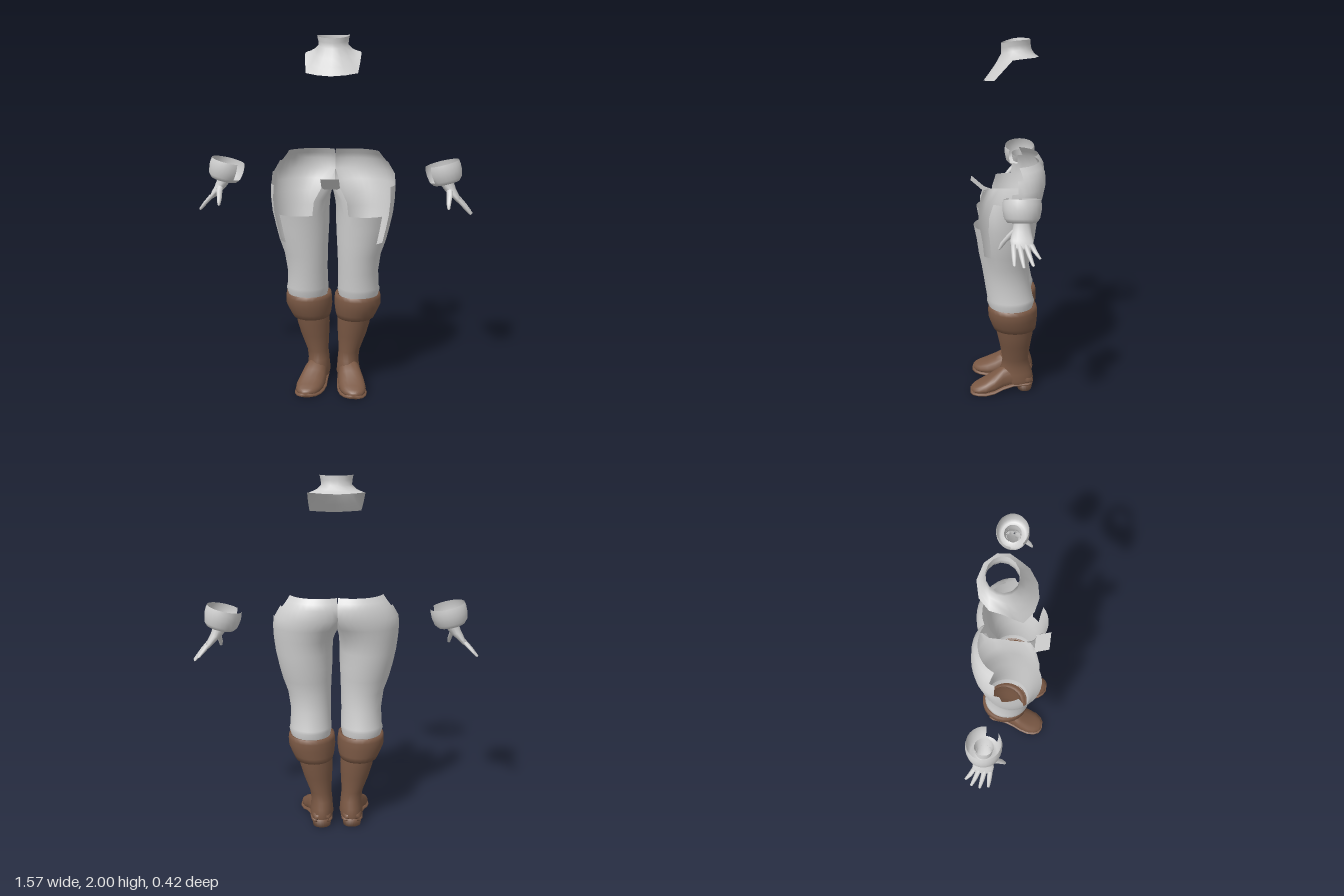
import * as THREE from 'three';

const RAD = Math.PI / 180;
const V = (x, y, z) => new THREE.Vector3(x, y, z);

// Surface through a stack of closed rings; keep(i, j) can leave out cells.
function loft(rings, keep = () => true) {
  const n = rings[0].length, index = [];
  for (let i = 0; i < rings.length - 1; i++) {
    for (let j = 0; j < n; j++) {
      if (!keep(i, j)) continue;
      const k = (j + 1) % n;
      const a = i * n + j, b = i * n + k, c = a + n, d = b + n;
      index.push(a, c, d, a, d, b);
    }
  }
  const g = new THREE.BufferGeometry().setFromPoints(rings.flat());
  g.setIndex(index);
  g.computeVertexNormals();
  return g;
}

// Horizontal oval between x0..x1 and z0..z1.
function oval(y, x0, x1, z0, z1, n = 24) {
  return Array.from({ length: n }, (_, j) => {
    const a = j / n * 2 * Math.PI;
    return V((x0 + x1) / 2 + (x1 - x0) / 2 * Math.cos(a), y, (z0 + z1) / 2 + (z1 - z0) / 2 * Math.sin(a));
  });
}

// Upright oval facing along z, flatter at the bottom.
function footRing(z, x, w, y0, y1, n = 20) {
  return Array.from({ length: n }, (_, j) => {
    const a = j / n * 2 * Math.PI, s = Math.sin(a), c = Math.cos(a);
    const base = y0 + (y1 - y0) * 0.3;
    return V(x + w * Math.sign(c) * Math.abs(c) ** 0.8,
      s > 0 ? base + (y1 - base) * s : base - (base - y0) * Math.abs(s) ** 0.4, z);
  });
}

// Tapered finger from tip to root, with a closed tip.
function finger(points, radii) {
  const rings = points.map(([x, y, z], i) => oval(y, x - radii[i], x + radii[i], z - radii[i], z + radii[i], 8));
  const [x, y, z] = points[0];
  rings.unshift(oval(y - 0.006, x, x, z, z, 8));
  return loft(rings);
}

function mirrored(g) {
  const m = g.clone().scale(-1, 1, 1), a = m.index.array;
  for (let i = 0; i < a.length; i += 3) [a[i], a[i + 1]] = [a[i + 1], a[i]];
  m.computeVertexNormals();
  return m;
}

export function createModel() {
  const model = new THREE.Group();
  const cloth = new THREE.MeshStandardMaterial({ color: 0xd0d0d0, side: THREE.DoubleSide });
  const leather = new THREE.MeshStandardMaterial({ color: 0x7a5844, side: THREE.DoubleSide });
  cloth.name = 'pale cloth';
  leather.name = 'brown leather';

  function add(name, geometry, material) {
    const mesh = new THREE.Mesh(geometry, material);
    mesh.name = name;
    model.add(mesh);
  }
  function pair(name, geometry, material) {
    add(name + 'Left', geometry, material);
    add(name + 'Right', mirrored(geometry), material);
  }

  // Trousers, one half: y, inner x, outer x, centre x, back z, front z
  const levels = [
    [0.54, 0.035, 0.255, 0.145, -0.14, 0.095], [0.585, 0.025, 0.268, 0.147, -0.152, 0.112],
    [0.60, 0.028, 0.262, 0.145, -0.145, 0.11], [0.70, 0.03, 0.258, 0.144, -0.125, 0.125],
    [0.80, 0.028, 0.272, 0.15, -0.12, 0.14], [0.88, 0.025, 0.30, 0.162, -0.135, 0.155],
    [0.96, 0.022, 0.32, 0.17, -0.15, 0.165], [1.04, 0.02, 0.337, 0.178, -0.16, 0.18],
    [1.12, 0.018, 0.346, 0.175, -0.17, 0.178], [1.19, 0, 0.348, 0.15, -0.192, 0.155],
    [1.25, 0, 0.343, 0.11, -0.208, 0.15], [1.31, 0, 0.308, 0.1, -0.205, 0.15],
    [1.34, 0, 0.283, 0.095, -0.19, 0.15], [1.368, 0, 0.263, 0.09, -0.172, 0.15],
  ];
  const trouserRings = levels.map(([y, x0, x1, cx, z0, z1]) => Array.from({ length: 36 }, (_, j) => {
    const c = Math.cos(j * 10 * RAD), s = Math.sin(j * 10 * RAD);
    return V(Math.max(x0, cx + (x1 - cx) * c), y, (z0 + z1) / 2 + (z1 - z0) / 2 * s);
  }));
  // Cut-outs at the thigh, hip and open waist front
  const keepTrouser = (i, j) => {
    const y = levels[i][0], a = j * 10;
    if (y >= 1.04 && a >= 50 && a < 120) return false;
    if (y >= 0.88 && a >= 30 && a < 50) return false;
    if (y < 1.19) return true;
    const k = (j + 1) % 36;
    if (trouserRings[i][j].x < 0.001 && trouserRings[i][k].x < 0.001) return false;
    return a >= 190 && a < (y < 1.25 ? 360 : y < 1.31 ? 350 : 340);
  };
  pair('trouserLeg', loft(trouserRings, keepTrouser), cloth);
  const flap = new THREE.PlaneGeometry(0.1, 0.106);
  flap.rotateX(0.85).translate(0, 1.215, 0.16);
  add('crotchFlap', flap, cloth);

  // Boots
  const ovals = rows => rows.map(r => oval(...r));
  pair('bootCuff', loft(ovals([
    [0.425, 0.03, 0.215, -0.145, 0.06], [0.41, 0.02, 0.235, -0.163, 0.075], [0.44, 0.012, 0.25, -0.166, 0.088],
    [0.49, 0.006, 0.272, -0.17, 0.105], [0.53, 0.008, 0.274, -0.17, 0.106], [0.555, 0.012, 0.27, -0.164, 0.102],
    [0.55, 0.03, 0.255, -0.145, 0.09],
  ])), leather);
  pair('bootShaft', loft(ovals([
    [0.045, 0.025, 0.15, -0.148, 0.04], [0.07, 0.018, 0.155, -0.153, 0.05], [0.11, 0.022, 0.15, -0.145, 0.05],
    [0.15, 0.025, 0.147, -0.132, 0.033], [0.2, 0.03, 0.153, -0.122, 0.026], [0.3, 0.025, 0.19, -0.135, 0.043],
    [0.37, 0.022, 0.21, -0.147, 0.058], [0.43, 0.025, 0.22, -0.15, 0.065],
  ])), leather);
  // Foot: z, centre x, half width, bottom, top (toe first)
  const foot = [
    [0.207, 0.135, 0.022, 0.014, 0.034], [0.19, 0.134, 0.05, 0.012, 0.047], [0.16, 0.129, 0.069, 0.012, 0.06],
    [0.12, 0.122, 0.078, 0.012, 0.08], [0.07, 0.111, 0.076, 0.018, 0.112], [0.02, 0.1, 0.067, 0.035, 0.15],
    [-0.04, 0.09, 0.06, 0.048, 0.15], [-0.12, 0.088, 0.055, 0.05, 0.1], [-0.145, 0.088, 0.04, 0.05, 0.08],
  ];
  const tube = rows => {
    const rings = rows.map(r => footRing(...r));
    const cap = ([z, x, , y0, y1]) => footRing(z, x, 0, (y0 + y1) / 2, (y0 + y1) / 2);
    return loft([cap(rows[0]), ...rings, cap(rows[rows.length - 1])]);
  };
  pair('bootFoot', tube(foot), leather);
  pair('bootSole', tube(foot.map(([z, x, w, y]) => [z + (z > 0.15 ? 0.005 : 0), x, w + 0.006, y - 0.012, y + 0.01])), leather);
  pair('bootHeel', loft(ovals([
    [0, 0.088, 0.088, -0.1, -0.1], [0, 0.038, 0.138, -0.143, -0.062],
    [0.052, 0.03, 0.147, -0.154, -0.045], [0.052, 0.088, 0.088, -0.1, -0.1],
  ])), leather);

  // Gloves, modelled upright, then tilted out at the wrist
  const place = g => g.rotateZ(0.25).translate(0.632, 1.195, -0.075);
  const round = (y, r) => oval(y, -r, r, -r * 0.95, r * 0.95, 24);
  const cuff = loft([round(0.012, 0.042), round(0, 0.075), round(0.02, 0.091), round(0.06, 0.099), round(0.09, 0.099), round(0.112, 0.095)],
    (i, j) => i < 2 || j < 9 || j > 11);
  pair('gloveCuff', place(cuff), cloth);
  const palm = [
    // y, centre x, half x, centre z, half z
    [-0.125, 0.046, 0.008, -0.002, 0.045], [-0.115, 0.042, 0.015, -0.001, 0.054], [-0.085, 0.03, 0.021, 0.002, 0.056],
    [-0.045, 0.012, 0.03, 0.002, 0.047], [0, 0, 0.038, 0, 0.04], [0.03, -0.003, 0.046, 0, 0.046], [0.06, -0.005, 0.05, 0, 0.05],
  ].map(([y, x, w, z, d]) => oval(y, x - w, x + w, z - d, z + d, 16));
  pair('palm', place(loft(palm)), cloth);
  // root z, tip z, tip x, tip y
  [[0.04, 0.037, 0.088, -0.198], [0.012, -0.008, 0.096, -0.205], [-0.017, -0.052, 0.092, -0.197], [-0.042, -0.083, 0.075, -0.165]]
    .forEach(([z0, z1, x, y], i) => {
      const path = [[x, y, z1], [0.5 * (x + 0.048), 0.5 * (y - 0.11), (z0 + z1) / 2], [0.04, -0.1, z0]];
      pair('finger' + (i + 1), place(finger(path, [0.008, 0.0125, 0.014])), cloth);
    });
  pair('thumb', place(finger([[-0.022, -0.128, 0.108], [-0.014, -0.098, 0.09], [0.002, -0.06, 0.055], [0.01, -0.03, 0.025]],
    [0.008, 0.014, 0.018, 0.018])), cloth);

  // Collar: half outline of the lower edge, front to back
  const edge = [[0, 1.785, 0.125], [0.075, 1.79, 0.11], [0.14, 1.8, 0.065], [0.148, 1.85, 0.02],
    [0.153, 1.905, -0.03], [0.145, 1.912, -0.09], [0.09, 1.912, -0.145], [0, 1.91, -0.168]].map(p => V(...p));
  const outer = [...edge, ...edge.slice(1, 7).reverse().map(p => V(-p.x, p.y, p.z))];
  const neckRing = (y, dip, rx, cz, rz) => outer.map((_, k) => {
    const a = (90 - k * 180 / 7) * RAD, s = Math.sin(a);
    return V(rx * Math.cos(a), y - dip * Math.max(0, s), cz + rz * s);
  });
  const neck = neckRing(1.95, 0.025, 0.082, -0.048, 0.08);
  const blend = (t, drop) => outer.map((p, k) => neck[k].clone().lerp(p, t).add(V(0, -drop, 0)));
  add('collar', loft([neckRing(2, 0.02, 0.09, -0.045, 0.078), neckRing(1.975, 0.02, 0.084, -0.046, 0.077),
    neck, blend(0.3, 0.008), blend(0.65, 0.006), outer]), cloth);

  return model;
}
